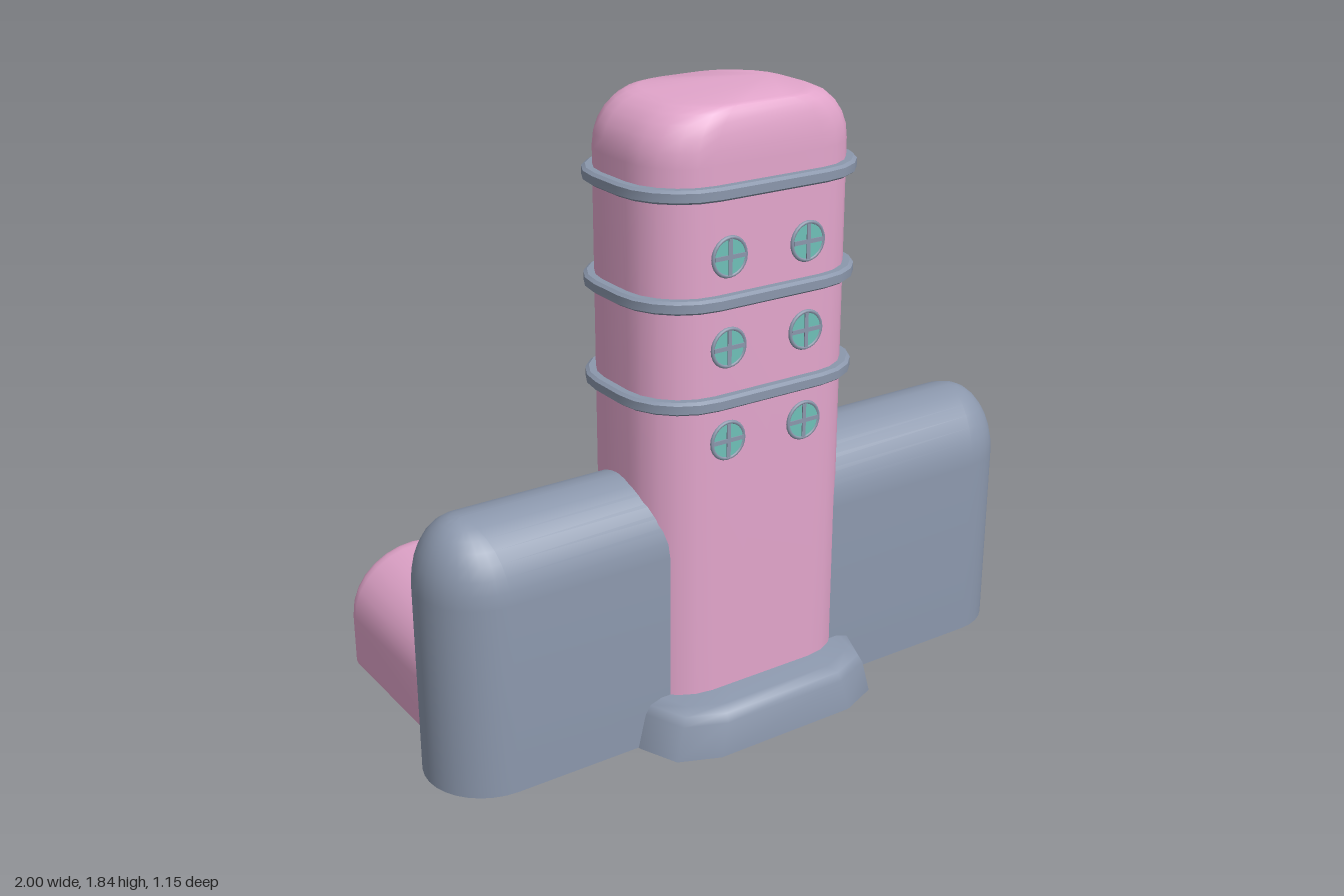
import * as THREE from 'three';
import { toCreasedNormals } from 'three/addons/utils/BufferGeometryUtils.js';

const paint = (name, color) => {
  const m = new THREE.MeshStandardMaterial({ color });
  m.name = name;
  return m;
};

// Skin a stack of equal-length rings (counter-clockwise about the stacking axis) and cap both ends
function loft(rings, crease = 0.6) {
  const n = rings[0].length, pos = [], index = [];
  rings.forEach(r => r.forEach(p => pos.push(...p)));
  for (let i = 0; i < rings.length - 1; i++)
    for (let j = 0; j < n; j++) {
      const k = (j + 1) % n, a = i * n + j, b = i * n + k, c = b + n, d = a + n;
      index.push(a, b, c, a, c, d);
    }
  const last = (rings.length - 1) * n;
  for (let j = 1; j < n - 1; j++) {
    index.push(0, j + 1, j);
    index.push(last, last + j, last + j + 1);
  }
  const g = new THREE.BufferGeometry();
  g.setAttribute('position', new THREE.Float32BufferAttribute(pos, 3));
  g.setIndex(index);
  return toCreasedNormals(g, crease);
}

// Horizontal rounded rectangle
function roundRing(y, cx, cz, hx, hz, r, n = 5) {
  const pts = [], sx = [1, -1, -1, 1], sz = [1, 1, -1, -1];
  for (let q = 0; q < 4; q++)
    for (let k = 0; k <= n; k++) {
      const a = (q + k / n) * Math.PI / 2;
      pts.push([cx + sx[q] * (hx - r) + r * Math.cos(a), y, cz - sz[q] * (hz - r) - r * Math.sin(a)]);
    }
  return pts;
}

// Upright arch section facing along z
function archRing(z, w, y0, top, spring, n = 14) {
  const pts = [[-w, y0, z]];
  for (let k = 0; k <= n; k++) {
    const a = Math.PI * (1 - k / n);
    pts.push([w * Math.cos(a), spring + (top - spring) * Math.sin(a), z]);
  }
  pts.push([w, y0, z]);
  return pts;
}

// Quarter-turn angles used for rounded-over edges
const quarter = n => Array.from({ length: n + 1 }, (_, i) => i / n * Math.PI / 2);

export function createModel() {
  const model = new THREE.Group();
  model.name = 'towerBuilding';
  const pink = paint('pink wall', 0xe2a5cb);
  const grey = paint('blue grey', 0x8b97ac);
  const teal = paint('teal glass', 0x6fc0b8);
  const patchPaint = {
    O: paint('olive patch', 0xd2d050),
    R: paint('red patch', 0xe8603c),
    B: paint('blue patch', 0x7fa6cc),
    T: teal
  };
  const add = (name, geometry, material, parent = model) => {
    const m = new THREE.Mesh(geometry, material);
    m.name = name;
    parent.add(m);
    return m;
  };
  const cx = -0.025, cz = 0.215;

  // Tower with a rounded roof
  add('tower', loft([
    roundRing(0.08, cx, cz, 0.345, 0.23, 0.17),
    ...quarter(6).map(t => {
      const s = 1 - Math.cos(t);
      return roundRing(1.69 + 0.15 * Math.sin(t), cx, cz, 0.345 - 0.14 * s, 0.23 - 0.035 * s, 0.17 - 0.03 * s);
    })
  ]), pink);

  // Bands around the tower, with softened edges
  const bandProfile = [[-0.019, 0], [-0.019, 0.02], [-0.012, 0.03], [0.012, 0.03], [0.019, 0.02], [0.019, 0]];
  for (const y of [1.035, 1.32, 1.62])
    add('band', loft(bandProfile.map(([h, o]) =>
      roundRing(y + h, cx, cz, 0.345 + o, 0.23 + o, 0.17 + o))), grey);

  // Long side wing with domed ends
  const wingHalf = 0.183;
  add('wing', loft([
    roundRing(0.004, 0, cz, 1, wingHalf, wingHalf, 8),
    ...quarter(8).map(t => {
      const w = Math.max(wingHalf * Math.cos(t), 0.008);
      return roundRing(0.58 + 0.205 * Math.sin(t), 0, cz, 1 - 0.13 * (1 - Math.cos(t)), w, w, 8);
    })
  ]), grey);

  // Coloured patchwork under the wing: rows run back to front, columns from +x to -x
  const patchRows = ['OBTTTTOOTTOOTO', 'OBRTOTBOORTORO', 'TOBTOORRRRTORO'];
  const reach = x => {
    const d = Math.max(0, Math.abs(x) - (1 - wingHalf));
    return Math.sqrt(Math.max(0, wingHalf ** 2 - d ** 2));
  };
  patchRows.forEach((row, r) => [...row].forEach((key, c) => {
    const x0 = 1 - 2 * c / row.length, x1 = 1 - 2 * (c + 1) / row.length;
    const edge = (x, i) => new THREE.Vector2(x, reach(x) * (2 * i / patchRows.length - 1));
    const shape = new THREE.Shape([edge(x0, r), edge(x0, r + 1), edge(x1, r + 1), edge(x1, r)]);
    const patch = add('undersidePatch', new THREE.ShapeGeometry(shape), patchPaint[key]);
    patch.rotation.x = Math.PI / 2;
    patch.position.z = cz;
  }));

  // Plinth
  add('plinth', loft([
    roundRing(0.003, cx, 0.21, 0.4, 0.362, 0.17, 2),
    roundRing(0.105, cx, 0.21, 0.375, 0.357, 0.17, 2),
    roundRing(0.13, cx, 0.21, 0.36, 0.345, 0.16, 2),
    roundRing(0.142, cx, 0.21, 0.33, 0.315, 0.15, 2)
  ], 1.1), grey);

  // Round windows with frame and cross bars, front and back
  const glass = new THREE.CircleGeometry(0.05, 24);
  const frame = new THREE.TorusGeometry(0.053, 0.006, 6, 24);
  const bar = new THREE.BoxGeometry(0.1, 0.012, 0.006);
  for (const side of [1, -1])
    for (const x of [-0.155, 0.105])
      for (const y of [0.915, 1.185, 1.44]) {
        const w = new THREE.Group();
        w.name = 'window';
        w.position.set(x, y, cz + side * 0.23);
        if (side < 0) w.rotation.y = Math.PI;
        add('windowGlass', glass, teal, w).position.z = 0.003;
        add('windowFrame', frame, grey, w);
        add('crossBar', bar, grey, w).position.z = 0.003;
        const upright = add('uprightBar', bar, grey, w);
        upright.position.z = 0.003;
        upright.rotation.z = Math.PI / 2;
        model.add(w);
      }

  // Upright chamfered ribs on the back of the tower
  for (let i = 0; i < 4; i++) {
    const x = -0.215 + i * 0.116;
    add('backRib', loft([
      roundRing(0.1, x, -0.015, 0.034, 0.046, 0.02, 1),
      roundRing(0.71, x, -0.015, 0.034, 0.046, 0.02, 1),
      roundRing(0.745, x, -0.015, 0.025, 0.032, 0.015, 1),
      roundRing(0.76, x, -0.015, 0.012, 0.016, 0.008, 1)
    ]), grey);
  }

  // Arched rear annexes with doors
  for (const x of [-0.672, 0.6]) {
    const annex = new THREE.Group();
    annex.name = 'annex';
    annex.position.x = x;
    add('annexHall', loft([
      archRing(0.1, 0.226, 0.012, 0.365, 0.17),
      ...quarter(6).map(t => {
        const s = 1 - Math.cos(t);
        return archRing(-0.475 - 0.09 * Math.sin(t), 0.226 - 0.115 * s, 0.012, 0.365 - 0.08 * s, 0.17);
      })
    ]), pink, annex);
    add('annexDoor', loft([
      archRing(-0.54, 0.1, 0.013, 0.275, 0.185),
      archRing(-0.574, 0.1, 0.013, 0.275, 0.185)
    ]), grey, annex);
    model.add(annex);
  }

  return model;
}
